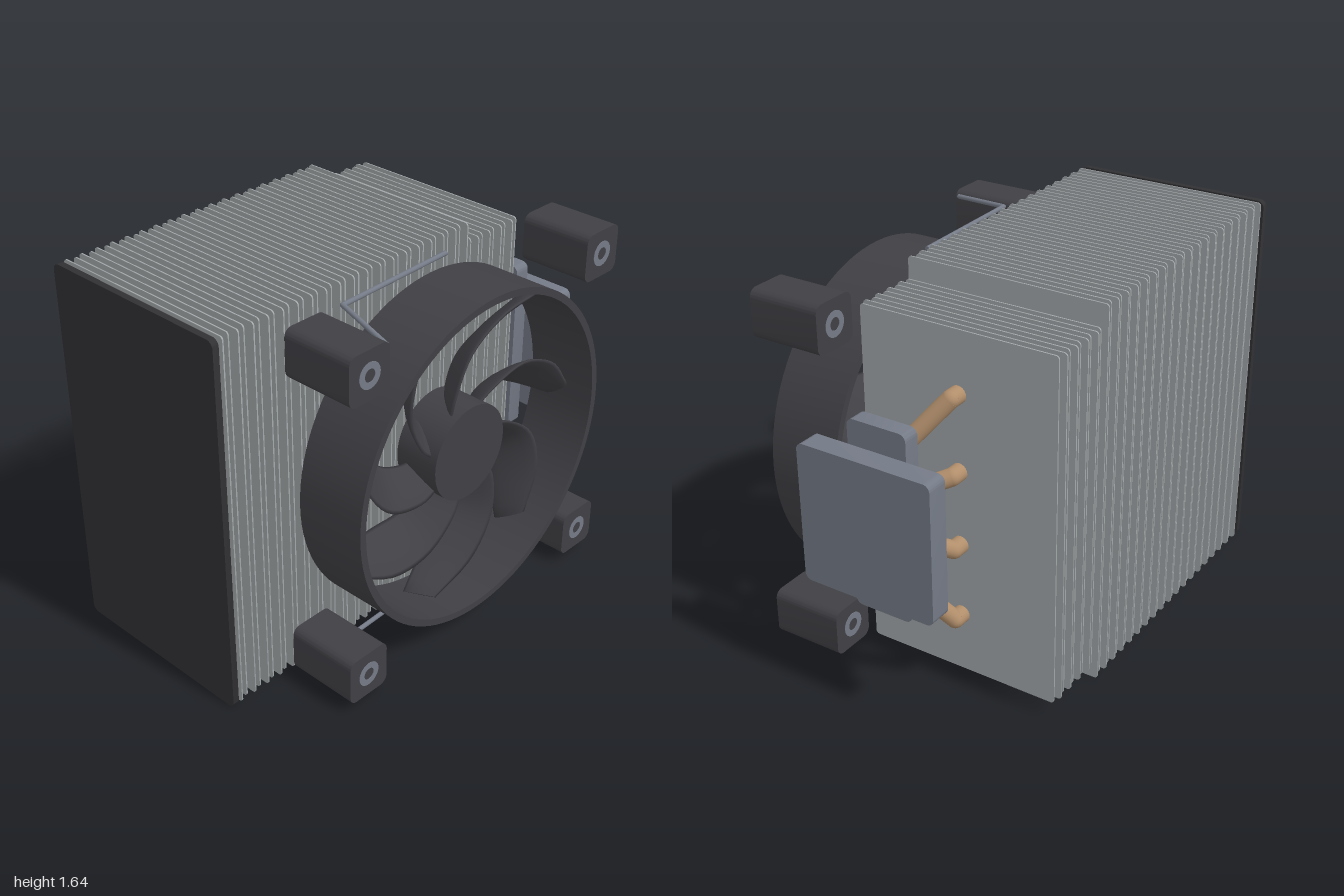
import * as THREE from 'three';
import { toCreasedNormals } from 'three/addons/utils/BufferGeometryUtils.js';

const mat = (name, color) => Object.assign(new THREE.MeshStandardMaterial({ color }), { name });
const FAN = { x: 0.065, y: 0.82 };

// Rounded rectangle shape between two corners
function roundedRect(x0, y0, x1, y1, r) {
  const s = new THREE.Shape();
  s.absarc(x1 - r, y1 - r, r, 0, Math.PI / 2);
  s.absarc(x0 + r, y1 - r, r, Math.PI / 2, Math.PI);
  s.absarc(x0 + r, y0 + r, r, Math.PI, Math.PI * 1.5);
  s.absarc(x1 - r, y0 + r, r, Math.PI * 1.5, Math.PI * 2);
  s.closePath();
  return s;
}

function extrude(shape, depth, curveSegments = 5) {
  const g = new THREE.ExtrudeGeometry(shape, { depth, bevelEnabled: false, curveSegments });
  return toCreasedNormals(g, 0.6);
}

// Plate standing across the x axis
function plateX(x0, x1, y0, y1, z0, z1, r) {
  const g = extrude(roundedRect(-z1, y0, -z0, y1, r), x1 - x0);
  return g.rotateY(Math.PI / 2).translate(x0, 0, 0);
}

// Bent rod: capped cylinders with a ball at each bend
function rod(points, r, material, name) {
  const group = new THREE.Group();
  group.name = name;
  const pts = points.map((p) => new THREE.Vector3(...p));
  for (let i = 0; i < pts.length - 1; i++) {
    const d = pts[i + 1].clone().sub(pts[i]);
    const m = new THREE.Mesh(new THREE.CylinderGeometry(r, r, d.length(), 20), material);
    m.position.copy(pts[i]).addScaledVector(d, 0.5);
    m.quaternion.setFromUnitVectors(new THREE.Vector3(0, 1, 0), d.normalize());
    m.name = name + 'Segment';
    group.add(m);
    if (i > 0) {
      const ball = new THREE.Mesh(new THREE.SphereGeometry(r, 20, 12), material);
      ball.position.copy(pts[i]);
      ball.name = name + 'Bend';
      group.add(ball);
    }
  }
  return group;
}

// Swept blade: oval sections between a front edge and a back edge
function bladeGeometry() {
  const curve = (list) => new THREE.CatmullRomCurve3(list.map(([r, deg, z]) => {
    const a = THREE.MathUtils.degToRad(deg);
    return new THREE.Vector3(r * Math.cos(a), r * Math.sin(a), z);
  }));
  const front = curve([[0.19, 167, 0.5], [0.28, 157, 0.515], [0.44, 140, 0.52], [0.57, 122, 0.52], [0.685, 104, 0.5]]);
  const back = curve([[0.19, 135, 0.38], [0.25, 133, 0.37], [0.345, 125, 0.36], [0.46, 111, 0.36], [0.688, 97, 0.39]]);
  const N = 18, K = 12, pos = [], idx = [];
  for (let i = 0; i <= N; i++) {
    const t = i / N, A = front.getPoint(t), B = back.getPoint(t);
    const mid = A.clone().add(B).multiplyScalar(0.5);
    const half = A.clone().sub(B).multiplyScalar(0.5);
    const dir = front.getTangent(t).add(back.getTangent(t)).normalize();
    const n = dir.cross(half).normalize();
    for (let j = 0; j < K; j++) {
      const p = (j / K) * Math.PI * 2;
      const v = mid.clone().addScaledVector(half, Math.cos(p)).addScaledVector(n, 0.014 * Math.sin(p));
      pos.push(v.x, v.y, v.z);
      if (i < N) {
        const a = i * K + j, b = i * K + (j + 1) % K;
        idx.push(a, b, b + K, a, b + K, a + K);
      }
    }
  }
  for (let j = 1; j < K - 1; j++) idx.push(N * K, N * K + j, N * K + j + 1);
  const g = new THREE.BufferGeometry();
  g.setAttribute('position', new THREE.Float32BufferAttribute(pos, 3));
  g.setIndex(idx);
  g.computeVertexNormals();
  return g;
}

export function createModel() {
  const model = new THREE.Group();
  model.name = 'towerCooler';
  const aluminium = mat('aluminium', 0xa2a7a9);
  const copper = mat('copper', 0xb18e6b);
  const steel = mat('blueGreySteel', 0x747a86);
  const plastic = mat('fanPlastic', 0x403f44);
  const black = mat('blackCover', 0x313134);

  const add = (parent, geometry, material, name) => {
    const m = new THREE.Mesh(geometry, material);
    m.name = name;
    parent.add(m);
    return m;
  };
  const addGroup = (name) => {
    const g = new THREE.Group();
    g.name = name;
    model.add(g);
    return g;
  };

  // Cover plate and fin stack; the last fins are lower
  add(model, plateX(-1, -0.972, 0, 1.64, -0.625, 0.265, 0.03), black, 'coverPlate');
  const fins = addGroup('finStack');
  const count = 46;
  for (let i = 0; i < count; i++) {
    const x = -0.95 + (1.6 * i) / (count - 1);
    const low = x > 0.345, inset = i % 2 ? 0.012 : 0;
    const y = low ? 0.08 : 0;
    add(fins, plateX(x - 0.003, x + 0.003, y, 1.64 - y, -0.622 + inset, 0.262 - inset, 0.015), aluminium, 'fin');
  }

  // Heat pipes bending into the base block
  const pipes = addGroup('heatPipes');
  [[1.302, 1.06, -0.94], [0.98, 0.9, -0.955], [0.662, 0.74, -0.94], [0.342, 0.58, -0.955]].forEach(([y, yEnd, x]) =>
    pipes.add(rod([[x, y, -0.185], [0.7, y, -0.185], [0.845, yEnd, 0]], 0.036, copper, 'heatPipe')));

  // Base block and contact plate
  add(model, plateX(0.832, 0.905, 0.42, 1.228, -0.13, 0.135, 0.03), steel, 'baseBlock');
  add(model, plateX(0.905, 1, 0.525, 1.12, -0.3, 0.302, 0.03), steel, 'contactPlate');

  // Fan: ring, hub and seven blades
  const fan = addGroup('fan');
  fan.position.set(FAN.x, FAN.y, 0);
  const ring = new THREE.Shape().absarc(0, 0, 0.72, 0, Math.PI * 2);
  ring.holes.push(new THREE.Path().absarc(0, 0, 0.69, 0, Math.PI * 2, true));
  add(fan, extrude(ring, 0.315, 48).translate(0, 0, 0.308), plastic, 'fanRing');
  add(fan, new THREE.CylinderGeometry(0.208, 0.208, 0.2, 48).rotateX(Math.PI / 2).translate(0, 0, 0.435), plastic, 'fanHub');
  const blade = bladeGeometry();
  for (let i = 0; i < 7; i++) {
    add(fan, blade, plastic, 'fanBlade').rotation.z = (i * Math.PI * 2) / 7;
  }

  // Corner mounts with a washer on both faces
  const mounts = addGroup('cornerMounts');
  const mount = extrude(roundedRect(-0.102, -0.102, 0.102, 0.102, 0.035), 0.315);
  const washerShape = new THREE.Shape().absarc(0, 0, 0.053, 0, Math.PI * 2);
  washerShape.holes.push(new THREE.Path().absarc(0, 0, 0.026, 0, Math.PI * 2, true));
  const washer = extrude(washerShape, 0.003, 16);
  for (const x of [-0.608, 0.733]) {
    for (const y of [0.149, 1.492]) {
      add(mounts, mount, plastic, 'cornerMount').position.set(x, y, 0.308);
      for (const z of [0.622, 0.306]) add(mounts, washer, steel, 'washer').position.set(x, y, z);
    }
  }

  // Wire clips above and below
  const wire = (y) => [[-0.51, y(1.568), 0.61], [-0.44, y(1.595), 0.33], [0.14, y(1.595), 0.312]];
  model.add(rod(wire((y) => y), 0.01, steel, 'topWireClip'));
  model.add(rod(wire((y) => 1.642 - y), 0.01, steel, 'bottomWireClip'));

  return model;
}
